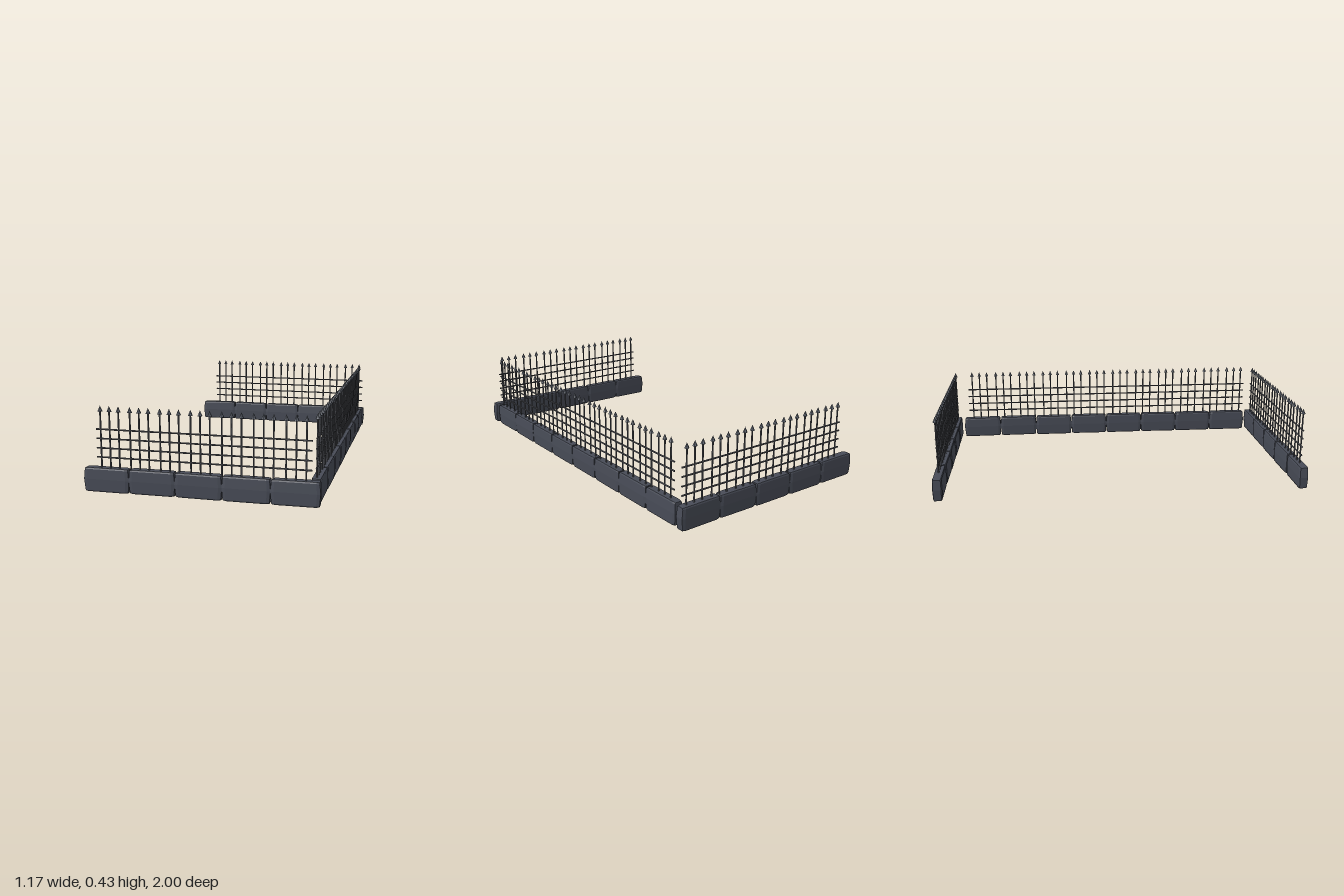
import * as THREE from 'three';

const stone = new THREE.MeshStandardMaterial({ color: 0x484c57 });
stone.name = 'slate stone';
const iron = new THREE.MeshStandardMaterial({ color: 0x57595f });
iron.name = 'grey iron';
const steel = new THREE.MeshStandardMaterial({ color: 0x5f6570 });
steel.name = 'blue grey steel';

// Small seeded generator returning -1..1
let seed = 7;
const jitter = () => {
  seed = (seed * 16807) % 2147483647;
  return (seed / 2147483647) * 2 - 1;
};

function flat(geometry) {
  const g = geometry.toNonIndexed();
  g.computeVertexNormals();
  return g;
}

function add(parent, name, geometry, material, x, y, z) {
  const mesh = new THREE.Mesh(geometry, material);
  mesh.name = name;
  mesh.position.set(x, y, z);
  parent.add(mesh);
  return mesh;
}

// Rough block: pointed ends at mid height, chamfered edges, narrower at its ends
function blockGeometry(width) {
  const g = new THREE.BoxGeometry(width, 0.12, 0.052, 4, 4, 1);
  const p = g.attributes.position;
  const levels = [-0.06, -0.053, 0.004, 0.053, 0.06];
  const scaleX = [0.957, 0.966, 1.006, 0.966, 0.957];
  const scaleZ = [0.78, 0.92, 1, 0.92, 0.8];
  const columns = [-0.5, -0.43, 0, 0.43, 0.5];
  for (let i = 0; i < p.count; i++) {
    const row = Math.round((p.getY(i) / 0.12 + 0.5) * 4);
    const col = Math.round((p.getX(i) / width + 0.5) * 4);
    const end = col % 4 === 0;
    p.setXYZ(i, columns[col] * width * scaleX[row],
      levels[row] * (end ? 0.965 : 1), p.getZ(i) * scaleZ[row] * (end ? 0.84 : 1));
  }
  return flat(g);
}

const rodGeometry = new THREE.CylinderGeometry(0.0043, 0.0043, 0.287, 6);
const tipGeometry = flat(new THREE.ConeGeometry(0.012, 0.028, 6));

// One straight fence run along local x; bars stand in groups of three
function fenceRun(name, length, blocks, groups, firstBar) {
  const run = new THREE.Group();
  run.name = name;

  const width = length / blocks;
  const block = blockGeometry(width);
  for (let i = 0; i < blocks; i++) {
    const m = add(run, 'baseBlock', block, stone,
      -length / 2 + (i + 0.5) * width, 0.065 + jitter() * 0.001, jitter() * 0.001);
    m.rotation.set(jitter() * 0.02, jitter() * 0.01, jitter() * 0.006);
  }

  const pitch = 0.153, gap = 0.0472;
  for (let g = 0; g < groups; g++) {
    for (let k = 0; k < 3; k++) {
      const x = firstBar + g * pitch + k * gap;
      add(run, 'bar', rodGeometry, iron, x, 0.2625, 0);
      add(run, 'spearTip', tipGeometry, steel, x, 0.416, 0);
    }
  }

  // Horizontal rails
  const span = (groups - 1) * pitch + 2 * gap;
  const rail = new THREE.CylinderGeometry(0.0042, 0.0042, span + 0.05, 6);
  for (const y of [0.175, 0.221, 0.268, 0.314]) {
    add(run, 'rail', rail, iron, firstBar + span / 2 + 0.002, y, 0).rotation.z = Math.PI / 2;
  }
  return run;
}

export function createModel() {
  seed = 7;
  const model = new THREE.Group();
  model.name = 'ironFence';

  const front = fenceRun('frontFence', 1.17, 5, 7, -0.498);
  front.position.z = 0.974;

  const back = fenceRun('backFence', 1.166, 5, 7, -0.47);
  back.position.z = -0.974;

  // Long side run: local +x points to -z
  const side = fenceRun('leftFence', 1.864, 8, 12, -0.905);
  side.rotation.y = Math.PI / 2;
  side.position.x = 0.553;

  model.add(front, back, side);
  // Rest the lowest stone on the ground
  const box = new THREE.Box3().setFromObject(model, true);
  for (const run of model.children) run.position.y -= box.min.y;
  return model;
}
